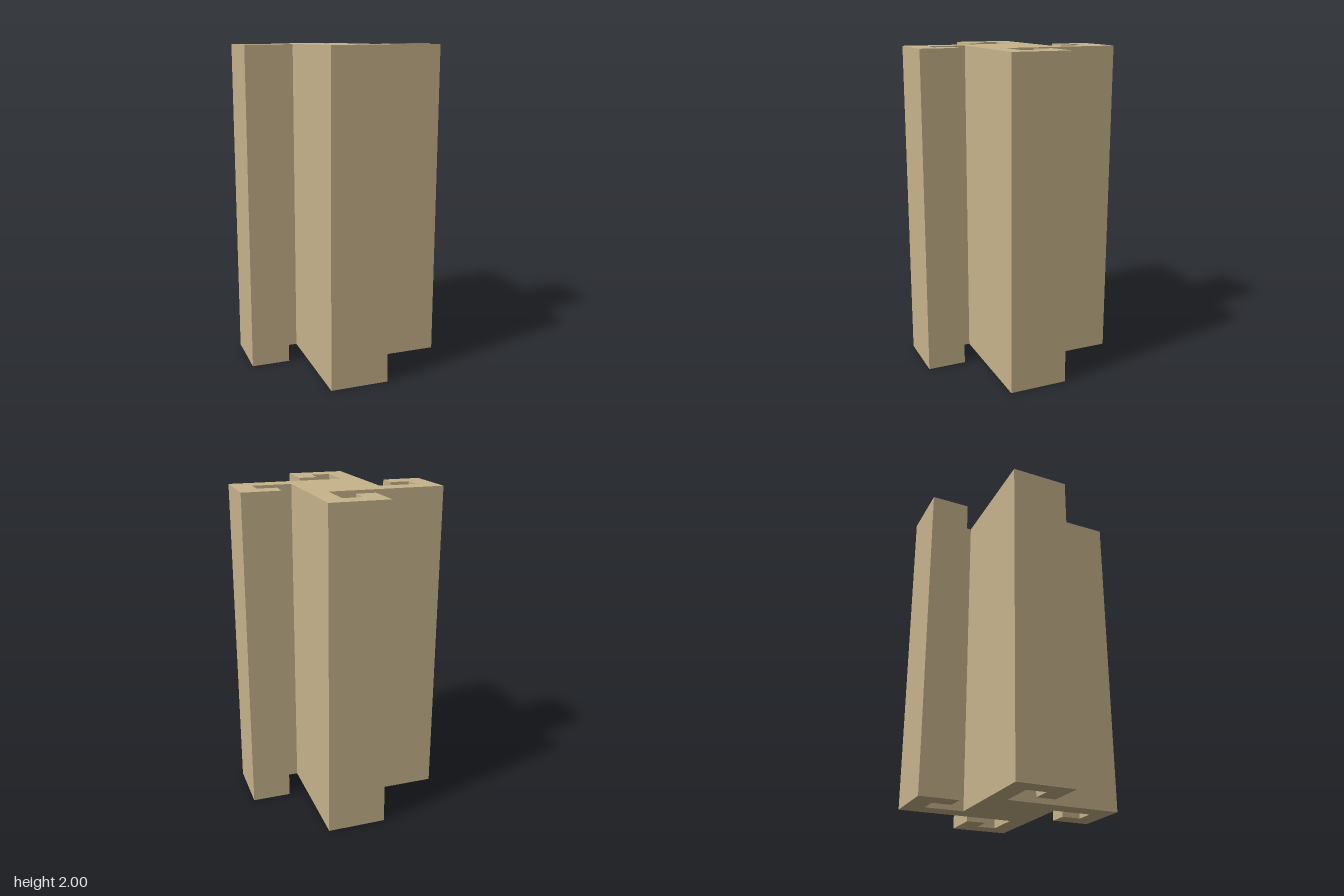
import * as THREE from 'three';

const HEIGHT = 2;

// One hooked arm in plan (x, z); the full outline is this repeated by quarter turns
const ARM = [
  [0.24, 0.12], [0.48, 0.12], [0.48, 0], [0.36, 0],
  [0.36, -0.12], [0.6, -0.12], [0.6, 0.24],
];

export function createModel() {
  const tan = new THREE.MeshStandardMaterial({ color: 0xc8b48c });
  tan.name = 'tan';

  const outline = [];
  let arm = ARM;
  for (let i = 0; i < 4; i++) {
    outline.push(...arm.map(([x, z]) => new THREE.Vector2(x, z)));
    arm = arm.map(([x, z]) => [-z, x]);
  }

  // Extrude the plan and stand it upright on y = 0
  const geometry = new THREE.ExtrudeGeometry(new THREE.Shape(outline), {
    depth: HEIGHT, bevelEnabled: false,
  });
  geometry.rotateX(Math.PI / 2).translate(0, HEIGHT, 0);

  const column = new THREE.Mesh(geometry, tan);
  column.name = 'hookedColumn';

  const model = new THREE.Group();
  model.name = 'pinwheelColumn';
  model.add(column);
  return model;
}
